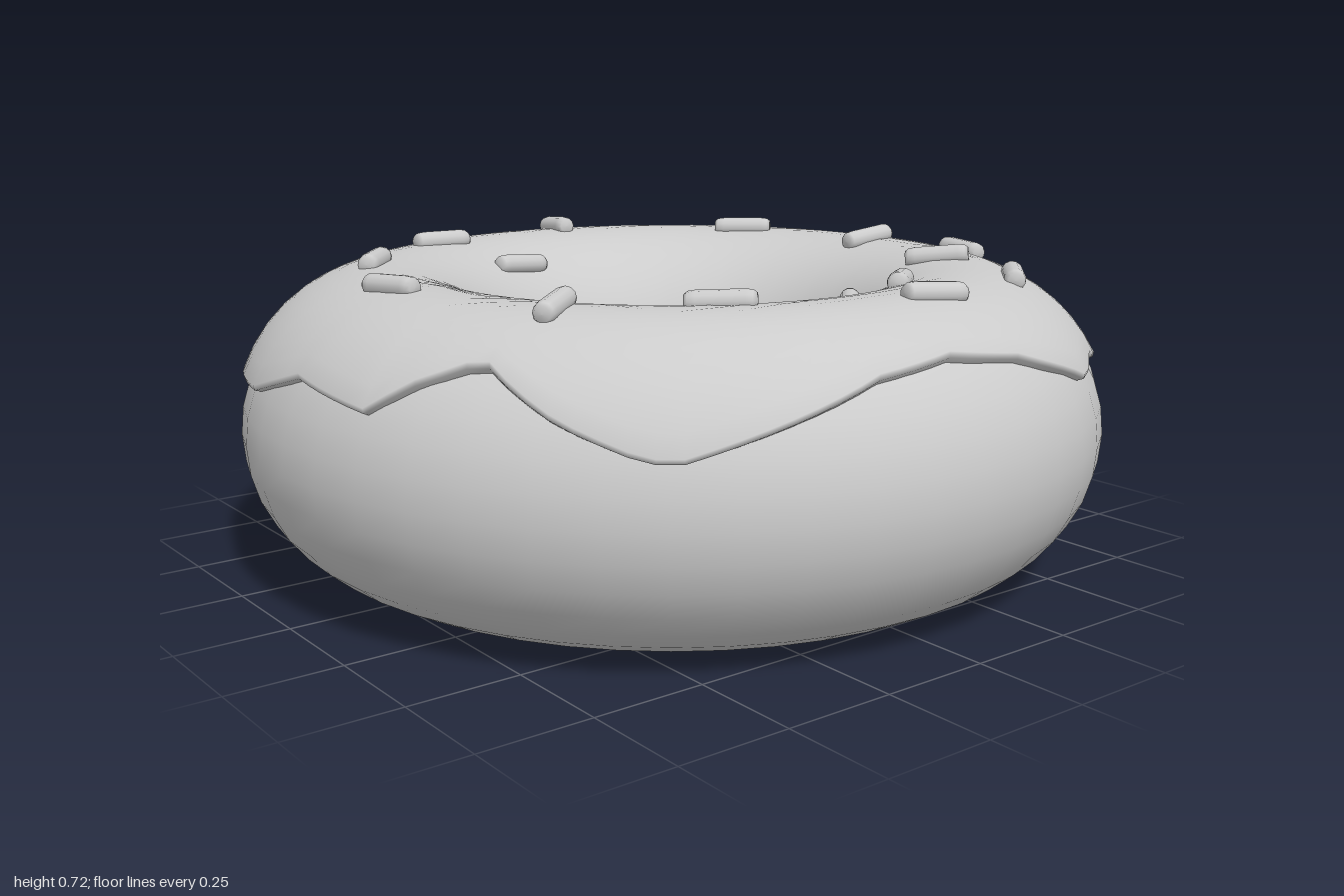
import * as THREE from 'three';

const R = 0.67, r = 0.33, RAD = Math.PI / 180;

// Lower edge of the icing on the outside: [degrees from +x toward +z, height]
const OUTER = [
  [0, 0.57], [12, 0.56], [24, 0.5], [35, 0.46], [50, 0.5], [55, 0.52], [62, 0.49], [67, 0.52],
  [78, 0.575], [90, 0.6], [102, 0.58], [114, 0.52], [126, 0.46], [130, 0.46], [140, 0.52],
  [151, 0.61], [161, 0.55], [164, 0.5], [180, 0.53], [192, 0.47], [205, 0.46], [218, 0.47],
  [231, 0.61], [242, 0.635], [252, 0.61], [257, 0.62], [270, 0.645], [279, 0.615], [295, 0.56],
  [303, 0.545], [309, 0.54], [315, 0.6], [322, 0.61], [331, 0.59], [342, 0.57], [360, 0.57],
];
// Jagged edge inside the hole, evenly spaced heights
const INNER = [0.38, 0.42, 0.36, 0.4, 0.35, 0.41, 0.37, 0.43, 0.36, 0.39, 0.34, 0.41, 0.37, 0.42, 0.35, 0.4, 0.36, 0.42, 0.37, 0.41];

// Sprinkles: x, z and direction dx, dz
const SPRINKLES = [
  [0.13, -0.69, 0.2, -1], [-0.28, -0.595, 1, 0], [-0.13, -0.46, 1, -0.15], [-0.58, -0.375, 1, -1.1],
  [0.52, -0.365, 1, 1], [-0.72, -0.03, 0.25, 1], [0.635, 0, 1, 0], [0.76, 0.21, -0.2, 1],
  [0.32, 0.27, 1, -1.05], [0.52, 0.355, 0.8, 1], [0.52, 0.59, 1, -1], [0.245, 0.51, 1, -0.8],
  [-0.585, 0.39, 1, -0.75], [-0.15, 0.45, 1, 0.17], [-0.29, 0.54, 1, 1], [0.13, 0.72, 1, 0.2],
];

const lerp = THREE.MathUtils.lerp;

function outerHeight(deg) {
  const k = Math.max(1, OUTER.findIndex((p) => p[0] >= deg));
  const [a, ya] = OUTER[k - 1], [b, yb] = OUTER[k];
  return lerp(ya, yb, (deg - a) / (b - a));
}

function innerHeight(deg) {
  const t = (deg / 360) * INNER.length, k = Math.floor(t);
  return lerp(INNER[k % INNER.length], INNER[(k + 1) % INNER.length], t - k);
}

// Icing is thickest on the crest
const thickness = (phi) => 0.012 + 0.016 * Math.sin(phi);

// Point on the ring, lifted off the dough
function ringPoint(theta, phi, lift) {
  const d = R + (r + lift) * Math.cos(phi);
  return [d * Math.cos(theta), r + (r + lift) * Math.sin(phi), d * Math.sin(theta)];
}

// Shell over the ring between the two wavy edges, with a rounded lip on both
function icingGeometry() {
  const cols = 120, steps = 18, rows = steps + 5, pos = [], index = [];
  for (let i = 0; i < cols; i++) {
    const deg = (i / cols) * 360, theta = deg * RAD;
    const a = Math.asin((outerHeight(deg) - r) / 0.35);
    const b = Math.PI - Math.asin((innerHeight(deg) - r) / 0.345);
    const add = (phi, s) => pos.push(...ringPoint(theta, phi, s < 0 ? -0.01 : s * thickness(phi)));
    add(a + 0.01, -1);
    add(a, 0.6);
    for (let j = 0; j <= steps; j++) add(lerp(a + 0.025, b - 0.025, j / steps), 1);
    add(b, 0.6);
    add(b - 0.01, -1);
  }
  for (let i = 0; i < cols; i++) {
    for (let j = 0; j < rows - 1; j++) {
      const p = i * rows + j, q = ((i + 1) % cols) * rows + j;
      index.push(p, p + 1, q, q, p + 1, q + 1);
    }
  }
  const g = new THREE.BufferGeometry();
  g.setAttribute('position', new THREE.Float32BufferAttribute(pos, 3));
  g.setIndex(index);
  g.computeVertexNormals();
  return g;
}

export function createModel() {
  const group = new THREE.Group();
  const material = new THREE.MeshStandardMaterial({ color: 0xcccccc });
  const add = (name, geometry) => {
    const mesh = new THREE.Mesh(geometry, material);
    mesh.name = name;
    group.add(mesh);
    return mesh;
  };

  // Dough ring
  add('dough', new THREE.TorusGeometry(R, r, 32, 48).rotateX(Math.PI / 2).translate(0, r, 0));

  // Icing with dripping edge
  add('icing', icingGeometry());

  // Sprinkles lying on the icing, long axis along local x
  const rod = [[0, -0.075], [0.017, -0.074], [0.023, -0.066], [0.025, -0.05], [0.025, 0.05], [0.023, 0.066], [0.017, 0.074], [0, 0.075]];
  const sprinkle = new THREE.LatheGeometry(rod.map(([x, y]) => new THREE.Vector2(x, y)), 12).rotateZ(-Math.PI / 2);
  SPRINKLES.forEach(([x, z, dx, dz], i) => {
    const theta = Math.atan2(z, x);
    const phi = Math.acos((Math.hypot(x, z) - R) / (r + 0.03));
    const n = new THREE.Vector3(Math.cos(phi) * Math.cos(theta), Math.sin(phi), Math.cos(phi) * Math.sin(theta));
    const along = new THREE.Vector3(dx, -(dx * n.x + dz * n.z) / n.y, dz).normalize();
    const side = new THREE.Vector3().crossVectors(along, n);
    const mesh = add('sprinkle' + (i + 1), sprinkle);
    mesh.quaternion.setFromRotationMatrix(new THREE.Matrix4().makeBasis(along, n, side));
    mesh.position.set(...ringPoint(theta, phi, thickness(phi) + 0.006));
  });

  return group;
}
